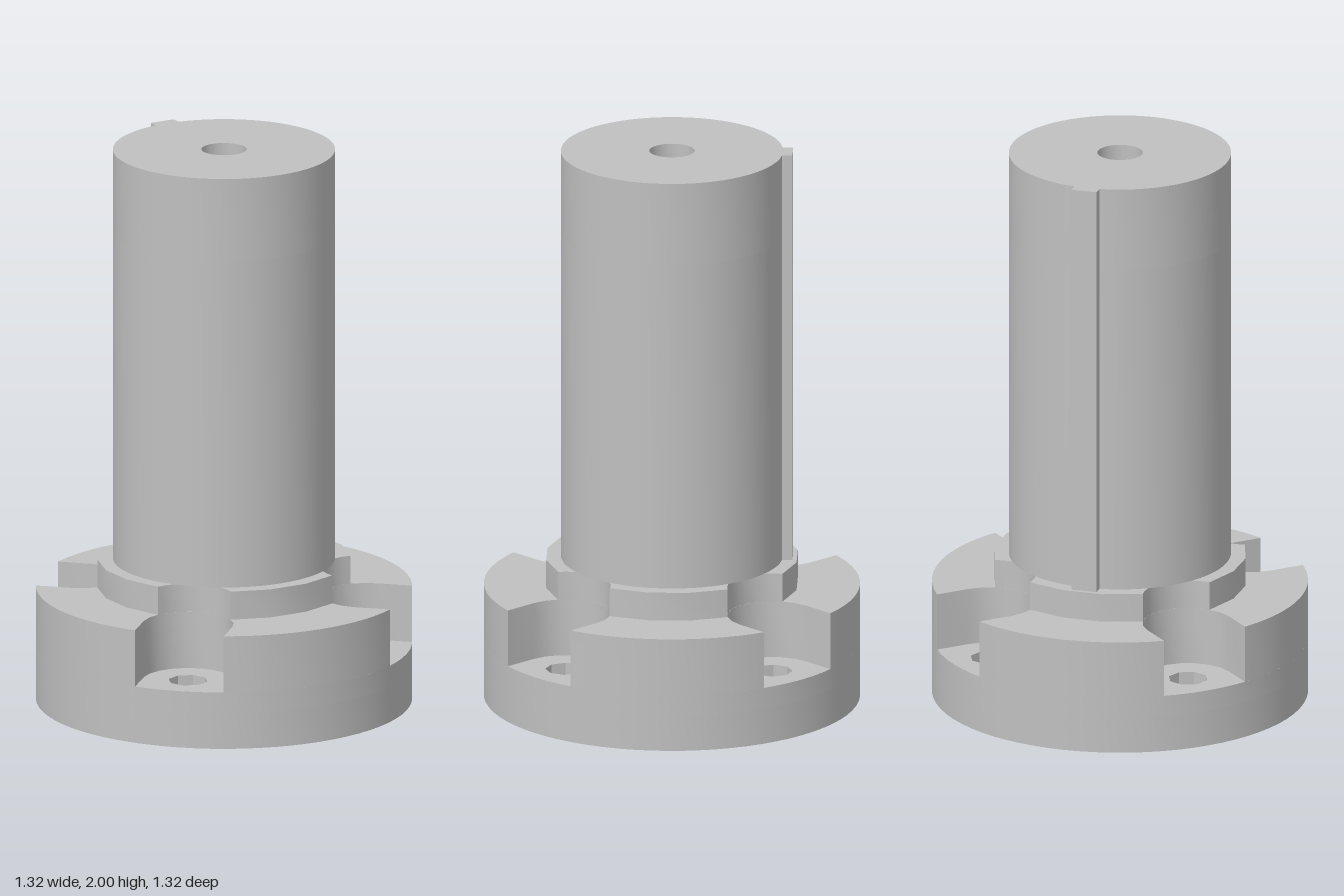
import * as THREE from 'three';
import { toCreasedNormals } from 'three/addons/utils/BufferGeometryUtils.js';

const FLANGE_R = 0.66, COLLAR_R = 0.445, SHAFT_R = 0.39;
const BOLT_R = 0.515, BOLT_HOLE_R = 0.07, SLOT_R = 0.16;

// Points along an arc, end points included
function arc(cx, cy, r, a0, a1, n) {
  return Array.from({ length: n + 1 }, (_, i) => {
    const a = a0 + (a1 - a0) * i / n;
    return new THREE.Vector2(cx + r * Math.cos(a), cy + r * Math.sin(a));
  });
}

function circle(cx, cy, r, n) {
  return arc(cx, cy, r, 0, Math.PI * 2, n).slice(0, n);
}

// Round outline with four round-ended slots cut in from the rim
function slottedOutline(R, segments) {
  const wide = R > BOLT_R;
  const along = wide ? Math.sqrt(R * R - SLOT_R * SLOT_R)
    : (BOLT_R ** 2 + R * R - SLOT_R ** 2) / (2 * BOLT_R);
  const half = Math.sqrt(R * R - along * along);
  const rim = Math.atan2(half, along);
  const start = wide ? Math.PI / 2 : Math.atan2(half, along - BOLT_R);
  const points = [];
  for (let k = 0; k < 4; k++) {
    const slot = arc(BOLT_R, 0, SLOT_R, 2 * Math.PI - start, start, 10);
    if (!wide) { slot.shift(); slot.pop(); }
    const quarter = [...slot, ...arc(0, 0, R, rim, Math.PI / 2 - rim, segments)];
    // slot is walked from its lower to its upper side, then along the rim
    points.push(...quarter.map(p => p.rotateAround(new THREE.Vector2(), k * Math.PI / 2)));
  }
  return points;
}

// Shaft outline with a raised key at the back
function keyedOutline() {
  const halfKey = 0.046, keyTop = 0.424;
  const gap = Math.asin(halfKey / SHAFT_R);
  const points = arc(0, 0, SHAFT_R, gap, 2 * Math.PI - gap, 64);
  points.push(new THREE.Vector2(keyTop, -halfKey), new THREE.Vector2(keyTop, halfKey));
  return points.map(p => p.rotateAround(new THREE.Vector2(), Math.PI * 0.75));
}

export function createModel() {
  const group = new THREE.Group();
  const steel = new THREE.MeshStandardMaterial({ color: 0xc0c0c0 });
  steel.name = 'grey steel';

  // Upright slab from y0 to y1 with the given outline and holes
  function layer(name, outline, holes, y0, y1) {
    const shape = new THREE.Shape(outline);
    shape.holes = holes.map(h => new THREE.Path(h));
    const geometry = new THREE.ExtrudeGeometry(shape, { depth: y1 - y0, bevelEnabled: false });
    geometry.rotateX(-Math.PI / 2).translate(0, y0, 0);
    const mesh = new THREE.Mesh(toCreasedNormals(geometry, 0.5), steel);
    mesh.name = name;
    group.add(mesh);
  }

  const boltHoles = [0, 1, 2, 3].map(k => {
    const a = k * Math.PI / 2;
    return circle(BOLT_R * Math.cos(a), BOLT_R * Math.sin(a), BOLT_HOLE_R, 8);
  });
  const disc = circle(0, 0, FLANGE_R, 72);

  // Flange with bolt holes and a shallow bore underneath
  layer('flangeBoredBase', disc, [...boltHoles, circle(0, 0, 0.32, 40)], 0, 0.13);
  layer('flangePlate', disc, boltHoles, 0.13, 0.205);

  // Slotted upper flange and collar
  layer('slottedFlange', slottedOutline(FLANGE_R, 14), [], 0.205, 0.41);
  layer('collar', slottedOutline(COLLAR_R, 3), [], 0.41, 0.512);

  // Keyed shaft with a blind centre hole in the top
  layer('shaft', keyedOutline(), [], 0.512, 1.7);
  layer('shaftTop', keyedOutline(), [circle(0, 0, 0.08, 20)], 1.7, 2);

  return group;
}
